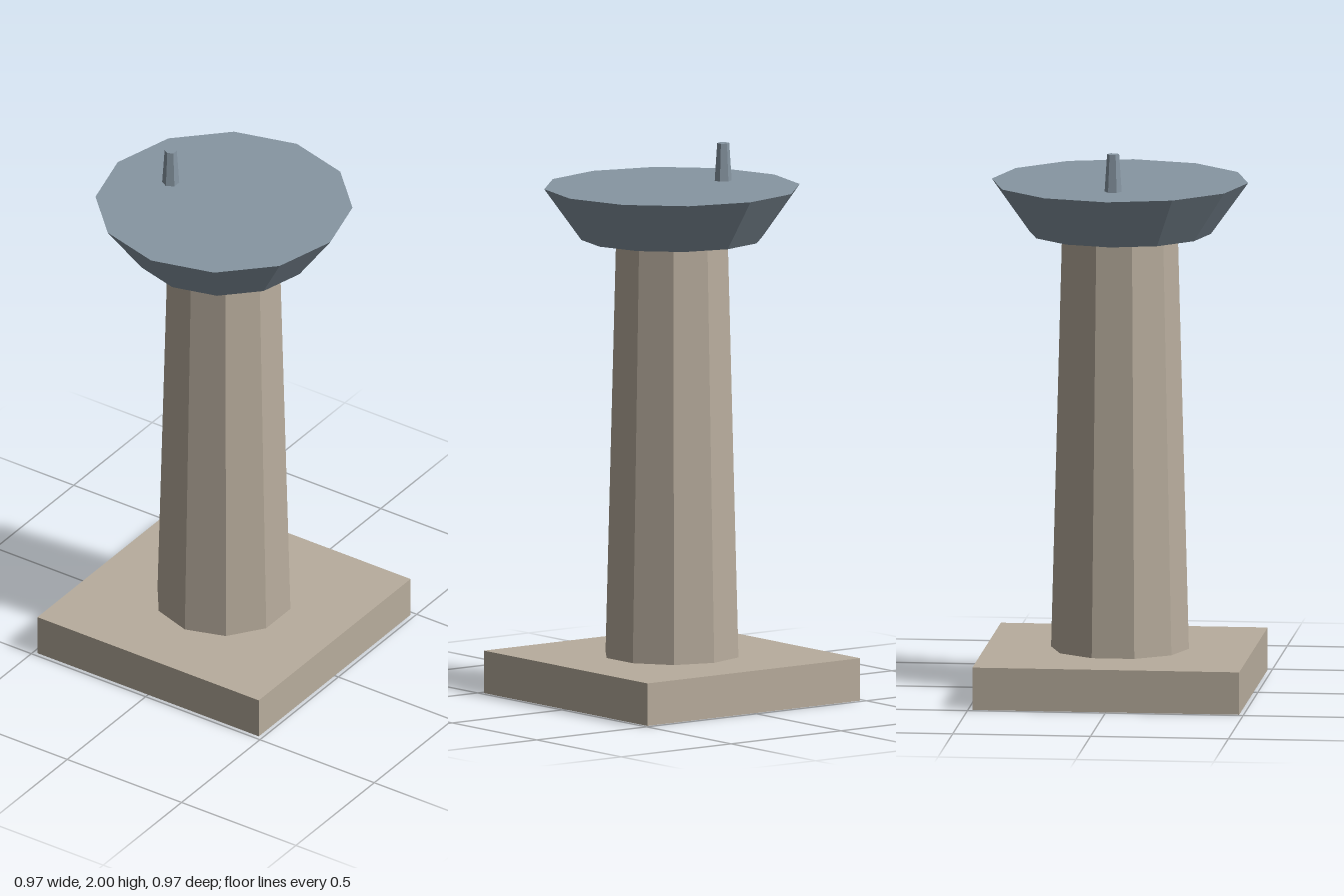
import * as THREE from 'three';

export function createModel() {
  const model = new THREE.Group();
  const material = (name, color) => {
    const m = new THREE.MeshStandardMaterial({ color, flatShading: true });
    m.name = name;
    return m;
  };
  const stone = material('warm stone', 0xb8ad9d);
  const slate = material('blue slate', 0x8796a2);

  const add = (name, geometry, mat, x, y) => {
    const mesh = new THREE.Mesh(geometry, mat);
    mesh.name = name;
    mesh.position.set(x, y, 0);
    model.add(mesh);
  };
  // Tapered prism standing between two heights
  const taper = (name, rTop, rBottom, y0, y1, sides, mat, x = 0) =>
    add(name, new THREE.CylinderGeometry(rTop, rBottom, y1 - y0, sides), mat, x, (y0 + y1) / 2);

  // Square plinth
  add('plinth', new THREE.BoxGeometry(0.968, 0.155, 0.968), stone, 0, 0.0775);
  // Ten-sided column
  taper('column', 0.21, 0.25, 0.155, 1.675, 10, stone);
  // Flared basin, closed by a flat top
  taper('basin', 0.465, 0.33, 1.675, 1.863, 12, slate);
  // Small off-centre spout
  taper('spout', 0.022, 0.031, 1.863, 2, 6, slate, -0.233);

  return model;
}
